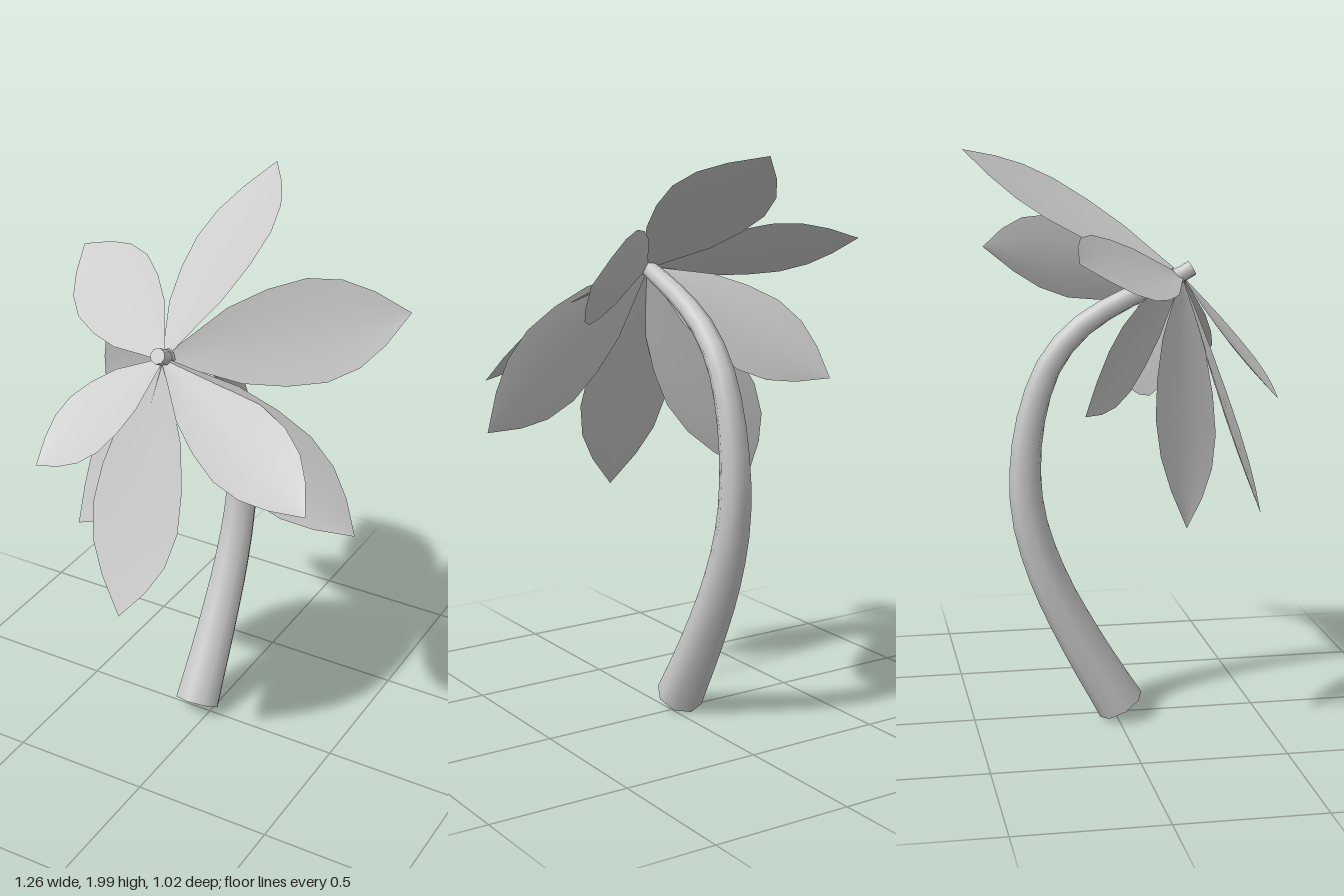
import * as THREE from 'three';

const V = (x, y, z) => new THREE.Vector3(x, y, z);
const grey = new THREE.MeshStandardMaterial({ color: 0xcccccc });
const thin = new THREE.MeshStandardMaterial({ color: 0xcccccc, side: THREE.DoubleSide });
const CROWN = V(-0.045, 1.57, 0.225);

function add(parent, name, geometry, material) {
  const mesh = new THREE.Mesh(geometry, material);
  mesh.name = name;
  parent.add(mesh);
  return mesh;
}

// Tapered, eight-sided trunk swept along the bend
function makeTrunk() {
  const trunk = new THREE.Group();
  trunk.name = 'trunk';
  const path = new THREE.CatmullRomCurve3([
    [0.015, 0.052], [-0.12, 0.285], [-0.24, 0.53], [-0.305, 0.74], [-0.318, 0.92],
    [-0.29, 1.12], [-0.23, 1.28], [-0.14, 1.39], [-0.03, 1.465], [0.1, 1.525], [0.215, 1.57],
  ].map(([z, y]) => V(-0.045, y, z)));
  const rings = 20, sides = 8;
  const radius = t => 0.085 - 0.055 * Math.pow(t, 0.85);
  const geo = new THREE.TubeGeometry(path, rings, 1, sides, false);
  const pos = geo.attributes.position;
  const v = V(0, 0, 0);
  for (let i = 0; i < pos.count; i++) {
    const t = Math.floor(i / (sides + 1)) / rings;
    const centre = path.getPointAt(t);
    v.fromBufferAttribute(pos, i).sub(centre).multiplyScalar(radius(t)).add(centre);
    pos.setXYZ(i, v.x, v.y, v.z);
  }
  add(trunk, 'trunkStem', geo, grey);
  // End caps
  for (const [t, dir, name] of [[0, -1, 'trunkBase'], [1, 1, 'trunkTop']]) {
    const cap = add(trunk, name, new THREE.CircleGeometry(radius(t), sides), grey);
    cap.position.copy(path.getPointAt(t));
    cap.lookAt(path.getPointAt(t).addScaledVector(path.getTangentAt(t), dir));
  }
  return trunk;
}

// Leaf outline: distance along the midrib, share of the half width
const OUTLINE = [[0, 0.05], [0.12, 0.33], [0.28, 0.72], [0.45, 0.93], [0.61, 1],
  [0.75, 0.85], [0.87, 0.52], [1, 0]];

// Thin leaf from crown to tip; across is the full-width vector at its widest
function leafGeometry(tip, across) {
  const axis = tip.clone().sub(CROWN);
  const normal = axis.clone().cross(across).normalize();
  if (normal.dot(V(0, 0.5, 0.85)) < 0) normal.negate();
  const points = [], index = [], cols = 5;
  OUTLINE.forEach(([t, w], row) => {
    for (let c = 0; c < cols; c++) {
      const s = c / (cols - 1) * 2 - 1;
      const lift = 0.015 * (s * s - 0.6) * w;
      const p = CROWN.clone().addScaledVector(axis, t)
        .addScaledVector(across, s * w / 2).addScaledVector(normal, lift);
      points.push(p);
      if (row && c) {
        const d = row * cols + c, b = d - cols;
        index.push(b - 1, b, d - 1, b, d, d - 1);
      }
    }
  });
  const geo = new THREE.BufferGeometry().setFromPoints(points);
  geo.setIndex(index);
  geo.computeVertexNormals();
  return geo;
}

// Tip position and width vector of each leaf
const LEAVES = [
  [[-0.03, 2.0, -0.515], [0.32, 0.11, 0.07]],
  [[0.55, 1.62, -0.39], [-0.13, 0.31, -0.09]],
  [[-0.63, 1.68, -0.22], [0.17, 0.195, -0.18]],
  [[0.54, 1.21, 0.34], [0.15, 0.14, -0.2]],
  [[0.63, 1.07, 0.16], [0.2, 0.27, -0.04]],
  [[-0.54, 1.19, -0.19], [-0.14, 0.24, -0.05]],
  [[-0.39, 1.2, 0.475], [-0.19, 0.09, -0.14]],
  [[-0.445, 0.79, 0.16], [0.21, -0.1, 0.25]],
  [[-0.06, 0.73, 0.51], [0.345, 0, 0.03]],
];

export function createModel() {
  const model = new THREE.Group();
  model.name = 'palmTree';
  model.add(makeTrunk());

  const leaves = new THREE.Group();
  leaves.name = 'leaves';
  LEAVES.forEach(([tip, across], i) =>
    add(leaves, `leaf${i + 1}`, leafGeometry(V(...tip), V(...across)), thin));
  model.add(leaves);

  // Small knob where the leaves meet
  const knob = add(model, 'crownKnob', new THREE.CylinderGeometry(0.027, 0.027, 0.055, 8), grey);
  knob.position.set(-0.045, 1.582, 0.235);
  knob.rotation.x = 1.05;
  return model;
}
